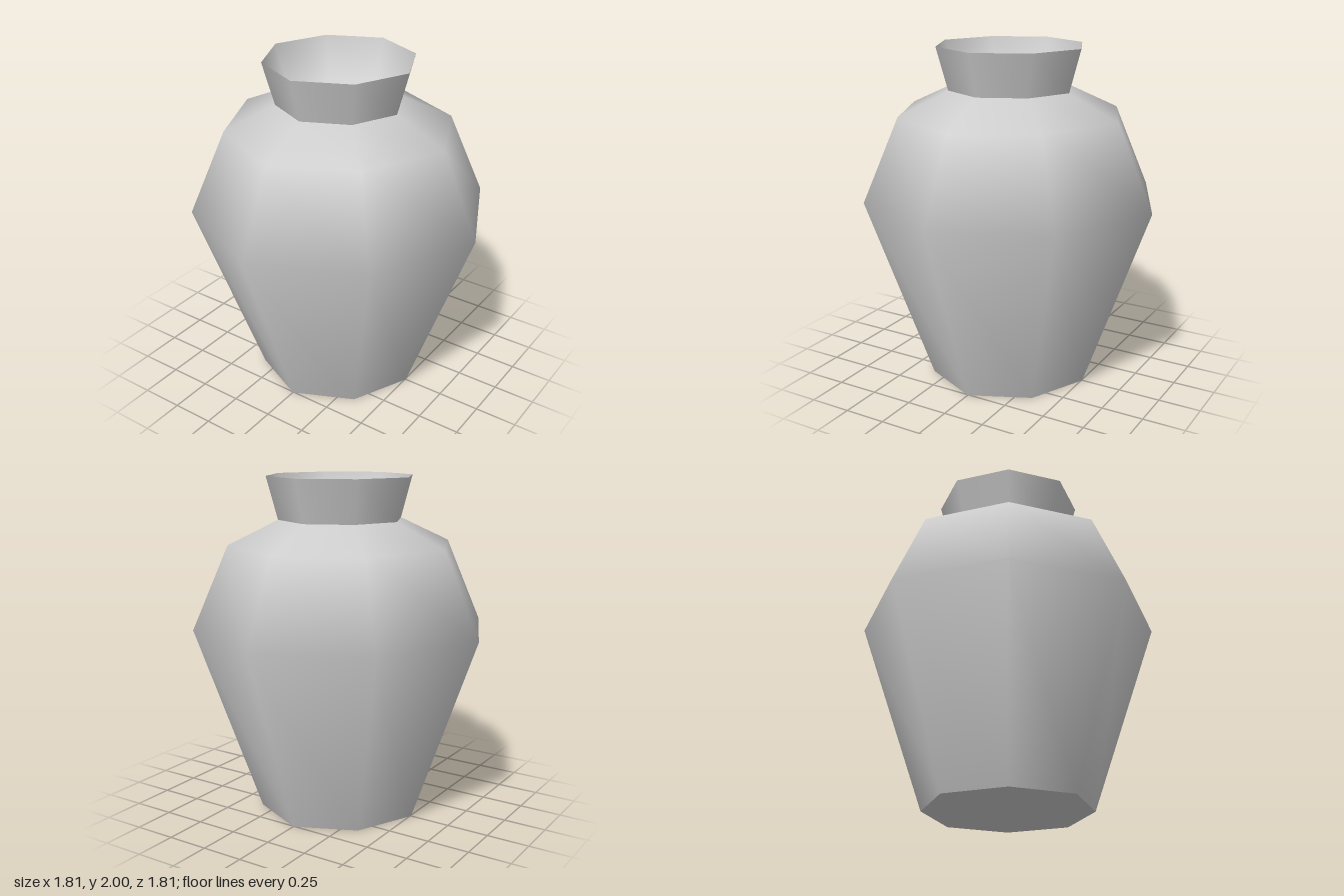
import * as THREE from 'three';

const SIDES = 8;

// Pull the diagonal corners in slightly, so the octagon is a little pointed on the axes
function pinch(geometry) {
  const p = geometry.attributes.position;
  for (let i = 0; i < p.count; i++) {
    const x = p.getX(i), z = p.getZ(i);
    if (Math.abs(x * z) > 1e-4) p.setXYZ(i, x * 0.967, p.getY(i), z * 0.967);
  }
  return geometry;
}

function turned(points) {
  return pinch(new THREE.LatheGeometry(points.map(([r, y]) => new THREE.Vector2(r, y)), SIDES));
}

export function createModel() {
  const clay = new THREE.MeshStandardMaterial({ color: 0xcccccc });
  clay.name = 'light grey clay';

  const vase = new THREE.Group();
  vase.name = 'vase';
  const add = (name, geometry) => {
    const mesh = new THREE.Mesh(geometry, clay);
    mesh.name = name;
    vase.add(mesh);
  };

  // Belly and shoulder, smooth from foot to neck
  add('body', turned([[0.505, 0], [0.905, 1.12], [0.685, 1.61], [0.38, 1.75]]));

  // Flared neck
  add('neck', turned([[0.38, 1.75], [0.45, 2]]));

  // Hollow of the mouth, from the rim down to the middle
  add('mouth', turned([[0.45, 2], [0.37, 1.755], [0, 1.62]]));

  // Flat underside
  add('base', pinch(new THREE.CircleGeometry(0.505, SIDES).rotateX(Math.PI / 2)));

  return vase;
}
